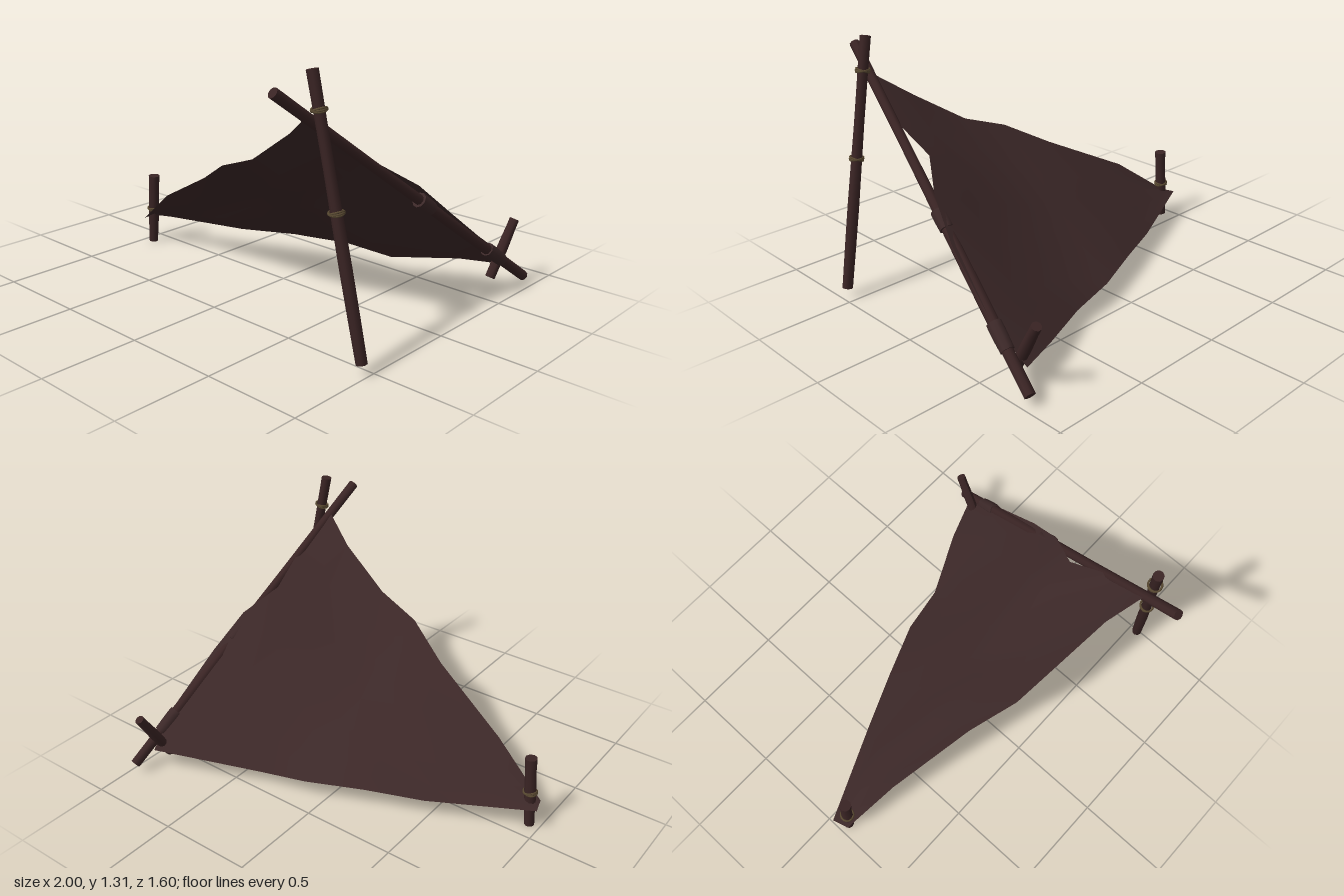
import * as THREE from 'three';

const V = (p) => new THREE.Vector3(...p);

export function createModel() {
  const group = new THREE.Group();
  const wood = new THREE.MeshStandardMaterial({ color: 0x3a2424 });
  const cloth = new THREE.MeshStandardMaterial({ color: 0x3c2828, side: THREE.DoubleSide });
  const rope = new THREE.MeshStandardMaterial({ color: 0x5a4a32 });

  const add = (name, geometry, material) => {
    const mesh = new THREE.Mesh(geometry, material);
    mesh.name = name;
    group.add(mesh);
    return mesh;
  };
  const turn = (object, dir, axis) => object.quaternion.setFromUnitVectors(axis, dir);
  const UP = new THREE.Vector3(0, 1, 0), OUT = new THREE.Vector3(0, 0, 1);

  // Rough-cut round timber between two points
  function pole(name, from, to, rBottom, rTop, material = wood) {
    const a = V(from), b = V(to), len = a.distanceTo(b);
    const geo = new THREE.CylinderGeometry(rTop, rBottom, len, 9, 6);
    const p = geo.attributes.position;
    for (let i = 0; i < p.count; i++) {
      const y = p.getY(i), k = 1 + 0.06 * Math.sin(y * 23 + len * 5);
      p.setXYZ(i, p.getX(i) * k, y, p.getZ(i) * k);
    }
    geo.computeVertexNormals();
    const mesh = add(name, geo, material);
    mesh.position.copy(a).lerp(b, 0.5);
    turn(mesh, b.clone().sub(a).normalize(), UP);
  }

  const ridge = [[0.965, 0.055, -0.785], [0.672, 1.225, 0.78]];
  const prop = [[0.972, 0.055, 0.55], [0.725, 1.305, 0.603]];
  const stake = [[-0.945, 0.003, 0.097], [-0.92, 0.4, 0.097]];
  const peg = [[0.878, 0.075, -0.605], [0.905, 0.355, -0.765]];
  pole('ridgePole', ...ridge, 0.027, 0.025);
  pole('propPole', ...prop, 0.028, 0.026);
  pole('cornerStake', ...stake, 0.027, 0.031);
  pole('backPeg', ...peg, 0.027, 0.026);

  // Rope lashings: crossed loops around a pole at a given fraction of its length
  function lashing(name, [from, to], t, radius) {
    const a = V(from), b = V(to), dir = b.clone().sub(a).normalize();
    for (const tilt of [-0.22, 0.05, 0.25]) {
      const ring = add(name, new THREE.TorusGeometry(radius, 0.005, 5, 14), rope);
      ring.position.copy(a).lerp(b, t);
      turn(ring, dir.clone().add(new THREE.Vector3(tilt, 0, tilt * 0.5)).normalize(), OUT);
    }
  }
  lashing('upperLashing', prop, 0.868, 0.034);
  lashing('lowerLashing', prop, 0.525, 0.034);
  lashing('stakeLashing', stake, 0.5, 0.034);

  // Ragged edges of the canvas, all with seven points
  const frontEdge = [[-0.975, 0.14, 0.135], [-0.68, 0.36, 0.205], [-0.24, 0.58, 0.33], [0, 0.715, 0.43],
    [0.24, 0.8, 0.465], [0.52, 0.98, 0.52], [0.7, 1.11, 0.595]].map(V);
  const backEdge = [[-1, 0.14, 0.05], [-0.49, 0.11, -0.18], [-0.2, 0.12, -0.3], [0.09, 0.11, -0.415],
    [0.35, 0.085, -0.465], [0.68, 0.12, -0.62], [0.9, 0.125, -0.7]].map(V);
  const poleEdge = [[0.7, 1.11, 0.595], [0.75, 0.955, 0.4], [0.72, 0.81, 0.15], [0.83, 0.69, -0.02],
    [0.89, 0.52, -0.21], [0.93, 0.29, -0.5], [0.9, 0.125, -0.7]].map(V);

  // Canvas stretched between the edges, easing into the pole side
  const N = 7, pos = [], idx = [];
  for (let i = 0; i < N; i++) {
    for (let j = 0; j < N; j++) {
      const v = j / (N - 1), u = i / (N - 1);
      const chord = frontEdge[N - 1].clone().lerp(backEdge[N - 1], v);
      const bend = poleEdge[j].clone().sub(chord).multiplyScalar(u ** 3);
      const p = frontEdge[i].clone().lerp(backEdge[i], v).add(bend);
      p.y += 0.012 * Math.sin(i * 2.1 + j * 1.7) * Math.sin(Math.PI * u) * Math.sin(Math.PI * v);
      pos.push(p.x, p.y, p.z);
      if (i < N - 1 && j < N - 1) {
        const a = i * N + j, b = a + N;
        idx.push(a, b, a + 1, b, b + 1, a + 1);
      }
    }
  }
  const sheet = new THREE.BufferGeometry();
  sheet.setAttribute('position', new THREE.Float32BufferAttribute(pos, 3));
  sheet.setIndex(idx);
  sheet.computeVertexNormals();
  add('canvas', sheet, cloth);

  // Canvas tabs wrapped over the ridge pole
  const at = (t) => V(ridge[0]).lerp(V(ridge[1]), t).toArray();
  pole('middleWrap', at(0.43), at(0.48), 0.036, 0.036, cloth);
  pole('lowerWrap', at(0.11), at(0.18), 0.035, 0.034, cloth);

  return group;
}
